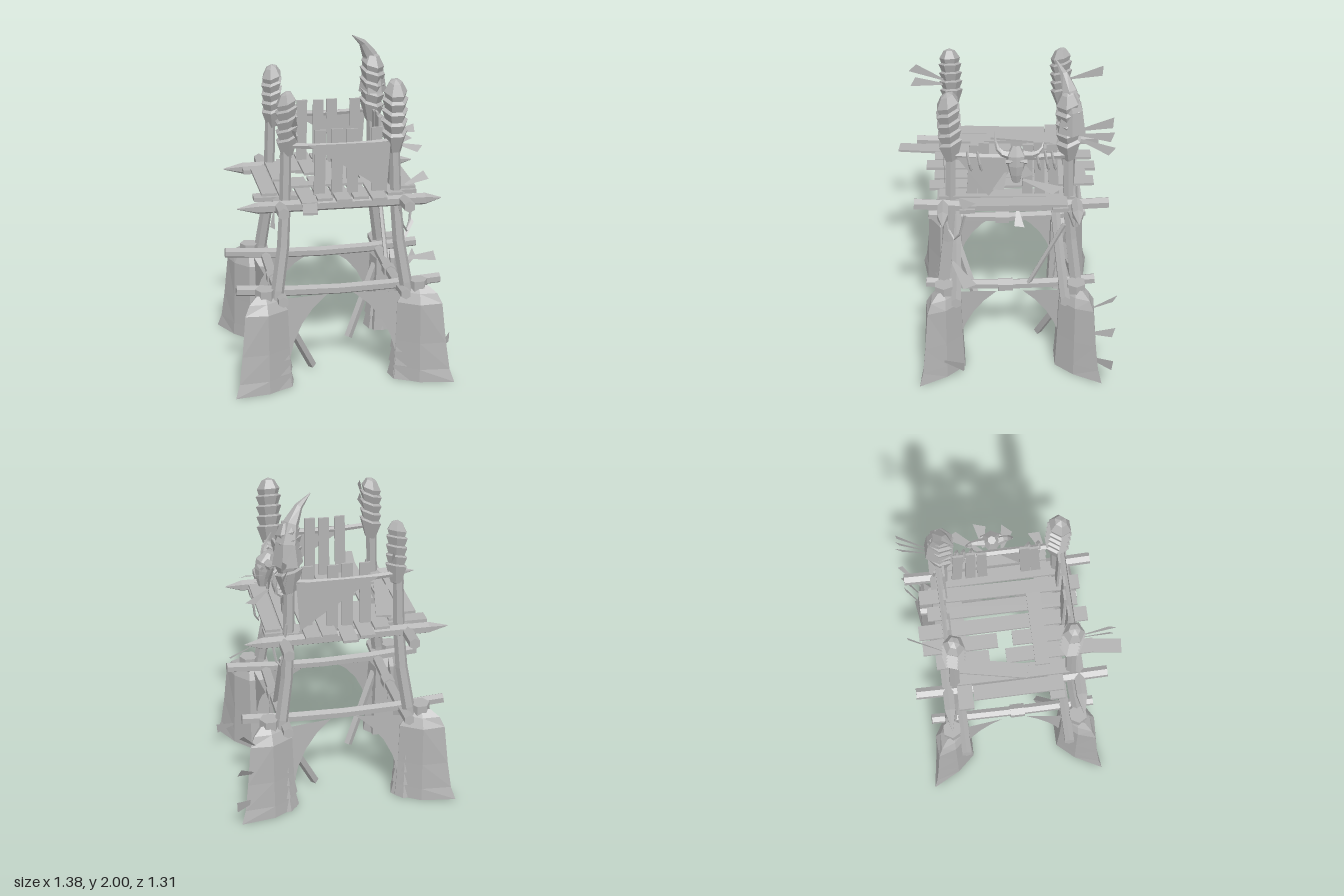
import * as THREE from 'three';

const grey = new THREE.MeshStandardMaterial({ color: 0xb2b2b2, flatShading: true, side: THREE.DoubleSide });
grey.name = 'weathered grey';
const V = (p) => new THREE.Vector3(...p);

function put(parent, name, geo) {
  const m = new THREE.Mesh(geo, grey);
  m.name = name;
  parent.add(m);
  return m;
}

function surface(points, idx) {
  const g = new THREE.BufferGeometry().setFromPoints(points);
  g.setIndex(idx);
  g.computeVertexNormals();
  return g;
}

// Skin a list of rings, optionally closing both ends
function loft(rings, capped = true) {
  const n = rings[0].length, e = (rings.length - 1) * n, idx = [];
  for (let k = 0; k < e; k += n) {
    for (let i = 0; i < n; i++) {
      const a = k + i, b = k + (i + 1) % n;
      idx.push(a, b, b + n, a, b + n, a + n);
    }
  }
  for (let i = 1; capped && i < n - 1; i++) idx.push(0, i + 1, i, e, e + i, e + i + 1);
  return surface(rings.flat(), idx);
}

// Bowed path from a to b whose middle is moved by the given amounts
function bow(a, b, bend) {
  const mid = V(a).lerp(V(b), 0.5).addScaledVector(V(bend), 2);
  return new THREE.QuadraticBezierCurve3(V(a), mid, V(b)).getPoints(4).map((p) => p.toArray());
}

// Log, rope or horn along a path; r is one radius or a function of 0..1
function pole(parent, name, path, r, sides = 6) {
  const pts = path.map(V), last = pts.length - 1;
  const whole = pts[last].clone().sub(pts[0]).normalize();
  const ref = Math.abs(whole.y) > 0.7 ? new THREE.Vector3(1, 0, 0) : new THREE.Vector3(0, 1, 0);
  const rings = pts.map((p, k) => {
    const d = pts[Math.min(k + 1, last)].clone().sub(pts[Math.max(k - 1, 0)]).normalize();
    const v = d.clone().cross(ref).normalize(), u = v.clone().cross(d);
    const rad = typeof r === 'function' ? r(k / last) : r;
    return Array.from({ length: sides }, (_, i) => {
      const t = (i / sides) * Math.PI * 2;
      return p.clone().addScaledVector(u, Math.cos(t) * rad).addScaledVector(v, Math.sin(t) * rad);
    });
  });
  return put(parent, name, loft(rings));
}

// Stretched hide with corners a, b, c; the edge from b to c is pulled in towards a
function hide(parent, name, a, b, c, pull) {
  const mid = V(b).lerp(V(c), 0.5).lerp(V(a), pull);
  const edge = new THREE.QuadraticBezierCurve3(V(b), mid, V(c)).getPoints(4);
  put(parent, name, surface([V(a), ...edge], [0, 1, 2, 0, 2, 3, 0, 3, 4, 0, 4, 5]));
}

// Feather: narrow quill end, wide slanted tip; n is the way its flat face looks
function feather(parent, base, tip, w, n) {
  const a = V(base), d = V(tip).sub(a), s = d.clone().cross(V(n)).normalize();
  const at = (t, k) => a.clone().addScaledVector(d, t).addScaledVector(s, k * w);
  put(parent, 'feather', surface([at(0, -0.1), at(0, 0.1), at(0.88, 0.5), at(1, -0.5)], [0, 1, 2, 0, 2, 3]));
}

function board(parent, name, size, p, rot = [0, 0, 0]) {
  const m = put(parent, name, new THREE.BoxGeometry(...size));
  m.position.set(...p);
  m.rotation.set(...rot);
}

function cornerLeg(tower, sx, sz) {
  const leg = new THREE.Group();
  leg.name = 'cornerLeg';
  tower.add(leg);
  const P = (x, y, z) => [sx * x, y, sz * z];
  // hide wrap: one footprint shrinking upwards, its outer claw drawn in fastest
  const foot = [[.67, .56], [.46, .53], [.31, .44], [.34, .28], [.48, .28], [.58, .39]];
  const rings = [[0, 1, 1], [.08, .96, .87], [.25, .9, .76], [.5, .85, .64], [.56, .6, .5], [.6, .3, .25]].map(([y, k, claw]) =>
    foot.map(([x, z], i) => {
      const f = i ? k : claw;
      return V(P(.47 + (x - .47) * f, y, .395 + (z - .395) * f));
    }));
  put(leg, 'hideWrap', loft(rings, false));
  // stepped hollow bark on the inner side
  for (let k = 0; k < 4; k++) {
    const bark = put(leg, 'bark', new THREE.CylinderGeometry(.087 - k * .006, .11 - k * .008, .1, 7, 1, true));
    bark.position.set(...P(.4, k * .09 + .05, .385));
  }
  pole(leg, 'stump', [P(.47, .3, .4), P(.465, .63, .4)], .06);
  pole(leg, 'post', [P(.42, .4, .41), P(.39, .62, .4), P(.35, .88, .37), P(.335, 1.1, .35), P(.32, 1.55, .34)],
    (t) => .042 - t * .01);
  // hide webs stretched towards the neighbouring legs
  hide(leg, 'hideWeb', P(.45, .57, .44), P(.08, .55, .35), P(.33, .16, .44), .32);
  hide(leg, 'hideWeb', P(.46, .57, .42), P(.41, .53, .08), P(.44, .2, .31), .25);
  if (sx !== sz) pole(leg, 'brace', [P(.36, .45, .35), P(.15, .01, .19)], .026, 4);
}

export function createModel() {
  const root = new THREE.Group();
  root.name = 'watchtower';
  const tower = new THREE.Group();
  tower.name = 'frame';
  tower.position.set(-.022, 0, -.015);
  root.add(tower);
  for (const sx of [-1, 1]) for (const sz of [-1, 1]) cornerLeg(tower, sx, sz);

  // Beams, and the front and back railings with slats and hanging hides
  for (const s of [-1, 1]) {
    pole(tower, 'lowerCrossBeam', bow([-.63, .6, s * .325], [.62, .6, s * .325], [0, -.03, 0]), .033);
    pole(tower, 'lowerSideBeam', bow([s * .37, .585, -.52], [s * .37, .58, .51], [0, -.03, 0]), .032);
    pole(tower, 'beamBinding', [[s * .37, .55, -.02], [s * .37, .55, .07]], .043);
    const spike = [-.62, -.5, .5, .6].map((x) => [x, 1.14, s * .395]);
    pole(tower, 'spikedBeam', spike, (t) => (t % 1 ? .036 : .003));
    pole(tower, 'platformBeam', bow([s * .37, 1.14, -.585], [s * .37, 1.15, .565], [0, -.02, 0]), .035);

    pole(tower, 'rail', bow([-.32, 1.5, s * .365], [.32, 1.5, s * .365], [0, -.015, 0]), .017, 5);
    [-.125, -.02, .07, .22].forEach((x, i) =>
      board(tower, 'slat', [.066, .48, .014], [x, 1.34, s * (.35 - .01 * (i % 2))], [0, 0, (i - 1.5) * .015]));
    hide(tower, 'hangingHide', [.29, 1.5, s * .385], [-.2, 1.5, s * .385], [.27, 1.19, s * .385], .05);
  }

  // Floor planks: x, z from, z to
  [[-.44, -.26, .28], [-.34, -.35, .34], [-.23, -.46, -.14], [-.23, -.04, .49], [-.13, -.53, -.08], [-.13, .01, .43],
    [-.025, -.545, .48], [.085, -.48, .43], [.19, -.52, .46], [.295, -.4, .4], [.4, -.35, .28]].forEach(([x, a, b], i) =>
    board(root, 'floorPlank', [.09, .016, b - a], [x, 1.178 + (i % 3) * .005, (a + b) / 2], [(i % 3 - 1) * .02, 0, 0]));
  for (const z of [.235, -.31]) board(root, 'joist', [.98, .025, .09], [-.04, 1.155, z]);
  board(root, 'loosePlank', [.46, .014, .085], [-.09, 1.2, .17]);
  board(root, 'loosePlank', [.09, .014, .42], [-.31, 1.202, -.13], [0, -.2, 0]);
  board(root, 'loosePlank', [.085, .014, .31], [-.235, 1.18, .5], [0, -.12, 0]);

  // Side railing with slats, hide and rope ties
  pole(tower, 'rail', bow([.34, 1.46, -.36], [.34, 1.47, .36], [.01, -.015, 0]), .02, 5);
  [.2, .14, -.12, -.19, -.27].forEach((z, i) =>
    board(root, 'slat', [.014, .4, .06], [.3, 1.32 + (i % 2) * .015, z], [(i - 2) * .03, 0, 0]));
  hide(root, 'hangingHide', [.34, 1.46, .29], [.35, 1.46, -.08], [.35, 1.2, .11], 0);
  for (const z of [.22, .16, -.18, -.23, -.27]) {
    const tie = put(root, 'ropeTie', new THREE.TorusGeometry(.032, .008, 4, 8));
    tie.position.set(.335, 1.43, z);
    tie.scale.y = 1.8;
    tie.rotation.x = .2;
  }

  // Horned animal skull on the side rail
  const skull = new THREE.Group();
  skull.name = 'skull';
  skull.position.z = -.05;
  root.add(skull);
  pole(skull, 'skullHead', bow([.365, 1.55, 0], [.41, 1.34, 0], [.015, 0, 0]), (t) => .025 + .034 * Math.sin(Math.PI * Math.sqrt(t)), 7);
  for (const s of [-1, 1]) {
    const tipY = 1.595 + s * .03;
    pole(skull, 'skullHorn', bow([.38, 1.5, s * .04], [.33, tipY, .14 * s - .02], [.02, -.025, s * .025]), (t) => .027 - t * .025, 5);
    pole(skull, 'eyeRidge', [[.43, 1.485, s * .02], [.42, 1.475, s * .06]], .014, 4);
  }

  // Layered wrappings on the post tops, with sprays of feathers
  const profile = [new THREE.Vector2(0, 0), new THREE.Vector2(.036, .01)];
  for (let y = .12; y < .3; y += .058) profile.push(new THREE.Vector2(.074, y), new THREE.Vector2(.056, y + .01));
  profile.push(new THREE.Vector2(.066, .335), new THREE.Vector2(.036, .385), new THREE.Vector2(0, .4));
  [[-.335, .32, 1, 2], [-.33, -.36, 1, 1], [.3, .32, 1.12, 0], [.3, -.365, 1.15, 3]].forEach(([x, z, size, feathers], i) => {
    const cap = put(root, 'postCap', new THREE.LatheGeometry(profile, 6));
    // the layers slant like a spiral binding
    const p = cap.geometry.attributes.position;
    for (let k = 0; k < p.count; k++) p.setY(k, p.getY(k) + p.getX(k) * .3);
    cap.position.set(x, 1.42, z);
    cap.scale.set(size * .95, size, size * .95);
    cap.rotation.set(.03, i * .8, .02);
    const side = Math.sign(z), lean = side < 0 ? .09 : .02;
    for (let k = 0; k < feathers; k++) {
      feather(root, [x + .02, 1.62 - k * .03, z + side * .05], [x + lean, 1.71 - k * .1, z + side * .25], .06, [1, .2, .3]);
    }
  });
  pole(root, 'cornerHorn', bow([.31, 1.62, -.37], [.16, 2, -.28], [.05, .05, -.03]), (t) => .09 - t * .088);

  // Feathers on the legs
  for (let k = 0; k < 3; k++) {
    feather(root, [.54, .5 - k * .19, -.5], [.65 + k * .02, .66 - k * .245, -.64], .04 + k * .015, [k / 2, 1 - k * .45, 1]);
  }
  feather(root, [.55, .12, .4], [.69, .18, .26], .06, [1, 0, 1]);
  feather(root, [.38, .75, .33], [.6, .71, .22], .08, [0, 1, .6]);
  // Feathers along the side of the platform
  for (const [y, z, dy, dz] of [[1.42, -.1, .02, -.01], [1.38, .01, -.03, .05], [1.33, -.09, .01, -.21], [1.2, .28, .04, -.06]]) {
    feather(root, [.38, y, z], [.53, y + dy, z + dz], .08, [0, 1, .4]);
  }
  feather(root, [.37, 1.12, -.06], [.44, 1.03, -.07], .06, [1, .4, 0]);
  feather(root, [-.43, 1.13, .4], [-.44, 1.01, .4], .03, [0, 0, 1]);

  // Slack ropes and a leaning stick below the platform
  pole(root, 'rope', bow([.32, 1.12, .38], [.43, 1.12, .25], [.01, -.2, 0]), .008, 4);
  pole(root, 'rope', bow([.33, 1.25, -.41], [.41, 1.12, -.36], [0, -.2, -.03]), .008, 4);
  pole(root, 'leaningStick', [[.35, .99, -.34], [.36, .57, -.13]], .015, 5);
  return root;
}
